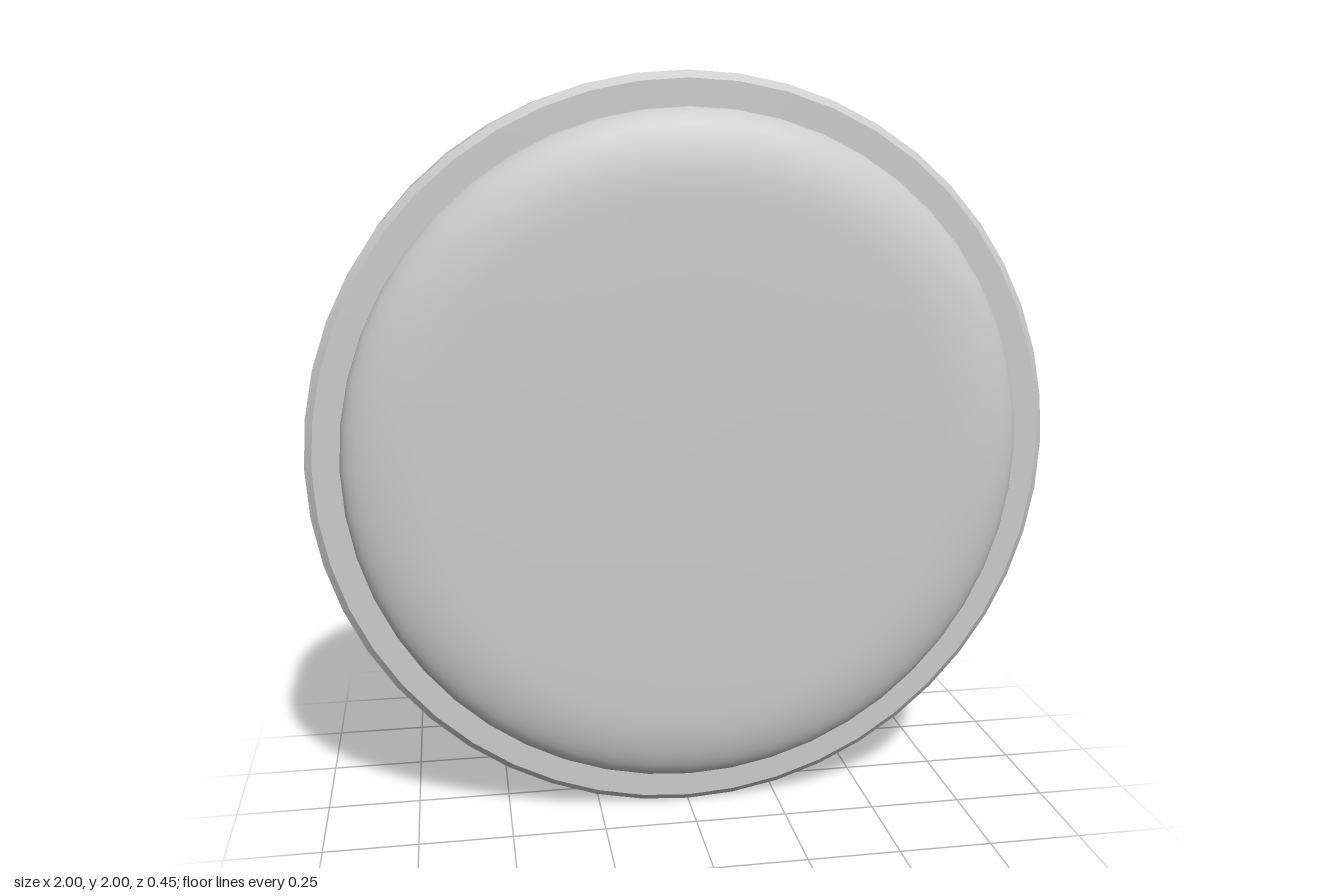
import * as THREE from 'three';
import { toCreasedNormals } from 'three/addons/utils/BufferGeometryUtils.js';

const material = new THREE.MeshStandardMaterial({ color: 0xcccccc, side: THREE.DoubleSide });

// Revolves [radius, z] points around the z axis; points run counterclockwise
function revolve(name, points) {
  const profile = points.map(([r, z]) => new THREE.Vector2(r, z));
  const geometry = new THREE.LatheGeometry(profile, 48).rotateX(Math.PI / 2);
  const mesh = new THREE.Mesh(toCreasedNormals(geometry, 0.6), material);
  mesh.name = name;
  return mesh;
}

// Quarter ellipse from the rim (r, z) inward to (r - w, z + h)
function roundedEdge(r, z, w, h, steps = 10) {
  return Array.from({ length: steps + 1 }, (_, i) => {
    const a = (i / steps) * Math.PI / 2;
    return [r - w + w * Math.cos(a), z + h * Math.sin(a)];
  });
}

export function createModel() {
  const group = new THREE.Group();
  group.name = 'roundCap';
  group.position.y = 1;

  // Wide outer ring with chamfered edges and a smooth bore
  group.add(revolve('outerRing', [
    [0.895, -0.148], [0.98, -0.148], [1, -0.13], [1, 0.11], [0.98, 0.128], [0.9, 0.128],
  ]));
  group.add(revolve('ringBore', [[0.895, 0.09], [0.895, -0.13]]));

  // Thin lip standing out of the back, stepping into the bore
  group.add(revolve('backLip', [
    [0.895, -0.13], [0.872, -0.13], [0.872, -0.225], [0.91, -0.225], [0.91, -0.148],
  ]));

  // Shallow domed front: a thin shell whose rim forms a ledge inside the ring
  group.add(revolve('domedFront', [
    [0, 0.19],
    [0.6, 0.188],
    ...roundedEdge(0.85, 0.09, 0.2, 0.095).reverse(),
    [0.895, 0.09],
    [0.91, 0.12],
    ...roundedEdge(0.91, 0.132, 0.22, 0.085),
    [0.5, 0.22],
    [0, 0.222],
  ]));

  return group;
}
